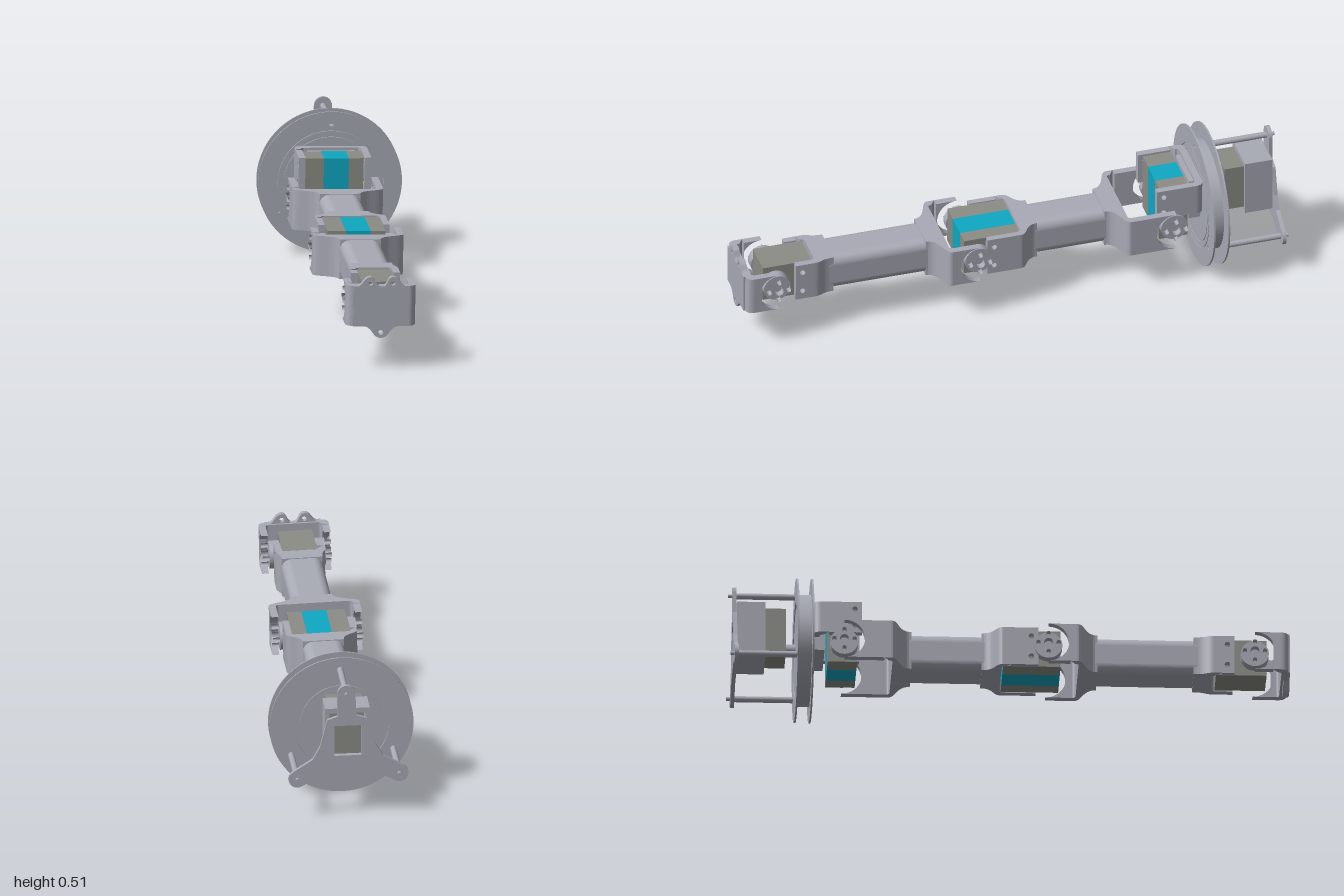
import * as THREE from 'three';

const mat = (name, color) => {
  const m = new THREE.MeshStandardMaterial({ color });
  m.name = name;
  return m;
};

export function createModel() {
  const metal = mat('light grey metal', 0xa8aab5);
  const casing = mat('warm grey casing', 0x8c8c86);
  const teal = mat('teal band', 0x0fa8c2);
  const root = new THREE.Group();
  root.name = 'jointedArm';

  // the arm is built around y = 0 and lifted, with a very slight roll
  const arm = new THREE.Group();
  arm.name = 'arm';
  arm.position.set(-0.004, 0.23, 0);
  arm.rotation.z = -0.022;
  root.add(arm);
  const H = 0.073;

  const add = (parent, name, geo, material, x = 0, y = 0, z = 0) => {
    const m = new THREE.Mesh(geo, material);
    m.name = name;
    m.position.set(x, y, z);
    parent.add(m);
    return m;
  };
  const extrude = (shape, depth) =>
    new THREE.ExtrudeGeometry(shape, { depth, bevelEnabled: false, curveSegments: 16 });
  const hole = (shape, x, y, r) =>
    shape.holes.push(new THREE.Path().absarc(x, y, r, 0, Math.PI * 2, true));
  const box = (parent, name, material, x0, x1, y0, y1, z0, z1) =>
    add(parent, name, new THREE.BoxGeometry(x1 - x0, y1 - y0, z1 - z0), material,
      (x0 + x1) / 2, (y0 + y1) / 2, (z0 + z1) / 2);
  const cylZ = (parent, name, r, z0, z1, x, y, material = metal) => {
    const g = new THREE.CylinderGeometry(r, r, Math.abs(z1 - z0), 64).rotateX(Math.PI / 2);
    return add(parent, name, g, material, x, y, (z0 + z1) / 2);
  };

  // curved base of a U bracket in plan; d is the z direction in which it opens
  const bracketBase = (name, zb, d, outer, wall, neck, y0, y1) => {
    const s = new THREE.Shape();
    const P = (x, k) => [x, -(zb + d * k)];
    const inner = outer - wall, e = 0.055;
    s.moveTo(...P(-outer, e));
    s.lineTo(...P(-outer, 0.03));
    if (neck) {
      s.bezierCurveTo(...P(-outer, 0), ...P(-neck, 0.005), ...P(-neck, -0.045));
      s.lineTo(...P(neck, -0.045));
      s.bezierCurveTo(...P(neck, 0.005), ...P(outer, 0), ...P(outer, 0.03));
    } else {
      s.quadraticCurveTo(...P(-outer, 0), ...P(-outer + 0.03, 0));
      s.lineTo(...P(outer - 0.03, 0));
      s.quadraticCurveTo(...P(outer, 0), ...P(outer, 0.03));
    }
    s.lineTo(...P(outer, e));
    s.lineTo(...P(inner, e));
    s.lineTo(...P(inner, 0.038));
    s.quadraticCurveTo(...P(inner, 0.025), ...P(inner - 0.013, 0.025));
    s.lineTo(...P(-inner + 0.013, 0.025));
    s.quadraticCurveTo(...P(-inner, 0.025), ...P(-inner, 0.038));
    add(arm, name, extrude(s, y1 - y0).rotateX(-Math.PI / 2), metal, 0, y0, 0);
  };

  // pair of side cheeks, drawn in z and y and extruded across x
  const cheeks = (name, shape, outer, wall) => {
    for (const x of [outer, -outer + wall])
      add(arm, name, extrude(shape, wall).rotateY(-Math.PI / 2), metal, x, 0, 0);
  };

  // fork with rounded ends around a pivot, with horn discs inside
  const pivotFork = (name, zb, d, zp, outer, wall, neck, servoHalf) => {
    bracketBase(name + 'Base', zb, d, outer, wall, neck, -H, H);
    const s = new THREE.Shape();
    const z0 = zb + d * 0.055;
    s.moveTo(z0, -d * H);
    s.lineTo(zp, -d * H);
    s.absarc(zp, 0, H, -d * Math.PI / 2, d * Math.PI / 2, d < 0);
    s.lineTo(z0, d * H);
    hole(s, zp, 0, 0.016);
    for (let i = 0; i < 4; i++) {
      const a = i * Math.PI / 2;
      hole(s, zp + 0.036 * Math.cos(a), 0.036 * Math.sin(a), 0.008);
    }
    cheeks(name + 'Cheek', s, outer, wall);
    const len = outer - wall - servoHalf;
    for (const side of [1, -1])
      add(arm, 'horn', new THREE.CylinderGeometry(0.05, 0.05, len, 32).rotateZ(Math.PI / 2),
        metal, side * (servoHalf + len / 2), 0, zp);
  };

  // square fork that grips a servo, with four screw holes per cheek
  const gripFork = (name, zb, d, zEnd, outer, wall, neck, y0, y1) => {
    bracketBase(name + 'Base', zb, d, outer, wall, neck, y0, y1);
    const s = new THREE.Shape();
    const a = Math.min(zb + d * 0.055, zEnd), b = Math.max(zb + d * 0.055, zEnd);
    s.moveTo(a, y0); s.lineTo(b, y0); s.lineTo(b, y1); s.lineTo(a, y1);
    const m = (y0 + y1) / 2, q = (y1 - y0) * 0.27;
    for (const y of [m - q, m + q]) hole(s, zEnd - d * 0.025, y, 0.01);
    cheeks(name + 'Cheek', s, outer, wall);
  };

  // beam with a rounded section
  const beam = (name, z0, z1) => {
    const w = 0.074, h = 0.07, r = 0.035, s = new THREE.Shape();
    s.moveTo(-w + r, -h);
    s.lineTo(w - r, -h); s.absarc(w - r, -h + r, r, -Math.PI / 2, 0);
    s.lineTo(w, h - r); s.absarc(w - r, h - r, r, 0, Math.PI / 2);
    s.lineTo(-w + r, h); s.absarc(-w + r, h - r, r, Math.PI / 2, Math.PI);
    s.lineTo(-w, -h + r); s.absarc(-w + r, -h + r, r, Math.PI, Math.PI * 1.5);
    add(arm, name, extrude(s, z1 - z0), metal, 0, 0, z0);
  };

  // servo with a coloured band around its middle
  const bandedServo = (name, y0, y1, z0, z1) => {
    box(arm, name, casing, -0.104, -0.038, y0, y1, z0, z1);
    box(arm, name + 'Band', teal, -0.038, 0.051, y0, y1, z0, z1);
    box(arm, name, casing, 0.051, 0.104, y0, y1, z0, z1);
  };

  // front tool bracket and its plate with two ears and a lower tab
  pivotFork('toolBracket', 0.992, -1, 0.872, 0.125, 0.025, 0, 0.062);
  const plate = new THREE.Shape();
  plate.moveTo(-0.1, -H); plate.lineTo(-0.07, -H);
  plate.bezierCurveTo(-0.025, -H, -0.035, -0.116, 0, -0.116);
  plate.bezierCurveTo(0.035, -0.116, 0.025, -H, 0.07, -H);
  plate.lineTo(0.1, -H); plate.lineTo(0.1, H); plate.lineTo(0.085, H);
  plate.bezierCurveTo(0.065, H + 0.005, 0.065, 0.107, 0.04, 0.107);
  plate.bezierCurveTo(0.018, 0.107, 0.025, 0.071, 0, 0.071);
  plate.bezierCurveTo(-0.025, 0.071, -0.018, 0.107, -0.04, 0.107);
  plate.bezierCurveTo(-0.065, 0.107, -0.065, H + 0.005, -0.085, H);
  plate.lineTo(-0.1, H);
  hole(plate, -0.04, 0.085, 0.009);
  hole(plate, 0.04, 0.085, 0.009);
  hole(plate, 0, -0.096, 0.009);
  add(arm, 'toolPlate', extrude(plate, 0.022), metal, 0, 0, 0.976);
  box(arm, 'frontServo', casing, -0.062, 0.062, -0.069, 0.069, 0.735, 0.915);

  // first link
  gripFork('frontLinkGrip', 0.7, 1, 0.8, 0.088, 0.024, 0.073, -H, H);
  beam('frontLinkBeam', 0.3, 0.67);
  pivotFork('frontLinkFork', 0.268, -1, 0.135, 0.162, 0.025, 0.073, 0.106);
  bandedServo('middleServo', -0.07, 0.07, -0.025, 0.18);

  // second link
  gripFork('rearLinkGrip', -0.055, 1, 0.1, 0.127, 0.022, 0.073, -H, H);
  beam('rearLinkBeam', -0.37, -0.09);
  pivotFork('rearLinkFork', -0.395, -1, -0.592, 0.162, 0.025, 0.073, 0.106);

  // upright servo held by the turntable bracket
  bandedServo('rearServo', -0.065, 0.154, -0.65, -0.545);
  gripFork('turntableBracket', -0.703, 1, -0.528, 0.13, 0.024, 0, 0.04, 0.16);
  box(arm, 'bracketFoot', metal, -0.085, 0.085, -0.01, 0.15, -0.703, -0.66);

  // turntable: two thin flanges on a drum, with shallow ring grooves
  const turntable = new THREE.Group();
  turntable.name = 'turntable';
  turntable.position.y = 0.2575;
  root.add(turntable);
  const posts = [[0.005, 0.212], [-0.185, -0.1], [0.18, -0.11]];
  const ring = (name, r0, r1, z, drilled) => {
    const s = new THREE.Shape().absarc(0, 0, r1, 0, Math.PI * 2);
    if (r0) hole(s, 0, 0, r0);
    if (drilled) for (const [x, y] of posts) hole(s, x, y, 0.008);
    const g = new THREE.ExtrudeGeometry(s, { depth: 0.006, bevelEnabled: false, curveSegments: 48 });
    add(turntable, name, g, metal, 0, 0, z);
  };
  cylZ(turntable, 'drum', 0.2, -0.756, -0.709, 0, 0);
  ring('frontFlange', 0.191, 0.2575, -0.709, true);
  ring('frontRing', 0.169, 0.187, -0.709);
  ring('frontDisc', 0, 0.165, -0.709);
  ring('rearFlange', 0.17, 0.2575, -0.762);
  ring('rearDisc', 0, 0.15, -0.76);

  // posts and three-armed rear plate
  for (const [x, y] of posts) {
    cylZ(turntable, 'post', 0.011, -0.985, -0.762, x, y);
    cylZ(turntable, 'postScrew', 0.007, -1.0, -0.98, x, y);
  }
  const spider = new THREE.Shape();
  posts.forEach(([x, y], i) => {
    const a = Math.atan2(y, x), r = i ? 0.1 : 0.135, w = i ? 0.65 : 0.55;
    const p = [r * Math.cos(a - w), r * Math.sin(a - w)];
    if (i) spider.lineTo(...p); else spider.moveTo(...p);
    spider.lineTo(x * 0.6 + 0.034 * Math.sin(a), y * 0.6 - 0.034 * Math.cos(a));
    spider.absarc(x, y, 0.032, a - Math.PI / 2, a + Math.PI / 2);
    spider.lineTo(x * 0.6 - 0.034 * Math.sin(a), y * 0.6 + 0.034 * Math.cos(a));
    spider.lineTo(r * Math.cos(a + w), r * Math.sin(a + w));
  });
  const rect = (P, w, y0, y1) => {
    const s = new P();
    s.moveTo(-w, y0); s.lineTo(w, y0); s.lineTo(w, y1); s.lineTo(-w, y1); s.closePath();
    return s;
  };
  spider.holes.push(rect(THREE.Path, 0.048, -0.025, 0.09));
  add(turntable, 'spiderPlate', extrude(spider, 0.014), metal, 0, 0, -0.985);

  // rear servo inside its open holder
  const holder = rect(THREE.Shape, 0.08, -0.058, 0.152);
  holder.holes.push(rect(THREE.Path, 0.064, -0.04, 0.133));
  add(turntable, 'servoHolder', extrude(holder, 0.102), metal, 0, 0, -0.972);
  box(turntable, 'turntableServo', casing, -0.065, 0.065, -0.04, 0.134, -0.93, -0.797);
  cylZ(turntable, 'servoShaft', 0.022, -0.8, -0.758, 0, 0);

  return root;
}
